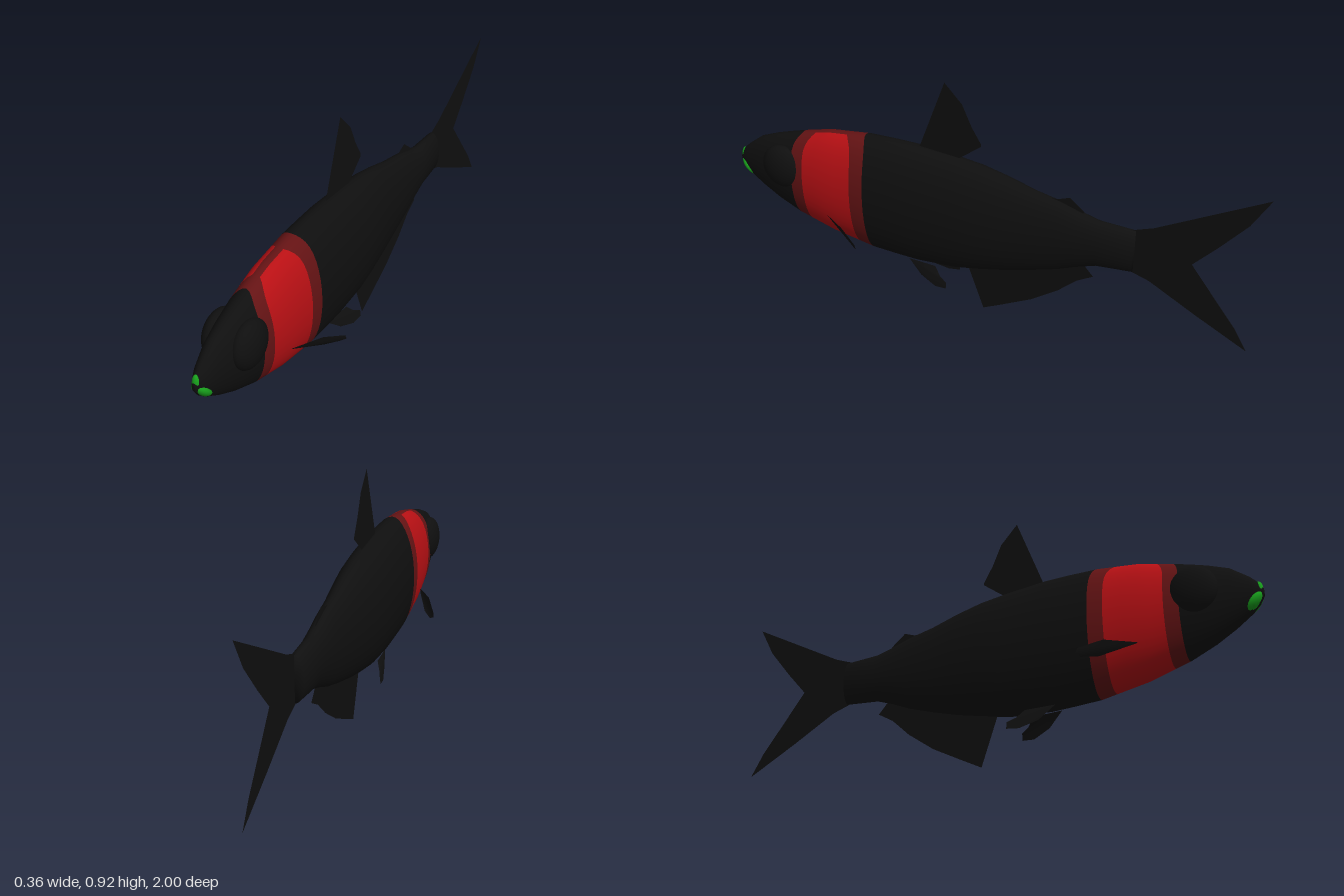
import * as THREE from 'three';

const mat = (name, color, side = THREE.FrontSide) => {
  const m = new THREE.MeshStandardMaterial({ color, side });
  m.name = name;
  return m;
};

// Body profile: z, bottom y, top y, half width
const PROFILE = [
  [1.0, 0.42, 0.452, 0.008], [0.985, 0.395, 0.475, 0.018], [0.96, 0.37, 0.5, 0.03], [0.9, 0.328, 0.545, 0.046],
  [0.83, 0.288, 0.572, 0.062], [0.74, 0.248, 0.6, 0.077], [0.6, 0.205, 0.635, 0.091],
  [0.42, 0.17, 0.655, 0.098], [0.25, 0.162, 0.652, 0.098], [0.1, 0.17, 0.638, 0.094],
  [0, 0.188, 0.625, 0.086], [-0.1, 0.21, 0.602, 0.074], [-0.2, 0.238, 0.572, 0.062],
  [-0.3, 0.27, 0.55, 0.053], [-0.37, 0.3, 0.527, 0.047], [-0.44, 0.325, 0.508, 0.042], [-0.57, 0.335, 0.502, 0.034],
];

function profileAt(z) {
  let i = 0;
  while (i < PROFILE.length - 2 && PROFILE[i + 1][0] > z) i++;
  const a = PROFILE[i], b = PROFILE[i + 1];
  const t = (a[0] - z) / (a[0] - b[0]);
  return [1, 2, 3].map(k => a[k] + (b[k] - a[k]) * t);
}

// Rows along the body: z, shift towards the ridge, colour of the strip behind (0 black, 1 dark red, 2 red)
const ROWS = [
  [1.0, 0, 0], [0.985, 0, 0], [0.96, 0, 0], [0.9, 0, 0], [0.83, 0, 0], [0.78, 0, 0],
  [0.74, -0.03, 1], [0.69, -0.04, 2], [0.645, -0.03, 2], [0.6, 0, 2], [0.55, 0.015, 2],
  [0.485, 0.04, 1], [0.43, 0.02, 0],
  ...[0.34, 0.25, 0.1, 0, -0.1, -0.2, -0.3, -0.37, -0.44, -0.57].map(z => [z, 0, 0]),
];

function bodyGeometry() {
  const N = 40, pos = [], lists = [[], [], []];
  const ring = (z0, shift, size = 1) => {
    for (let j = 0; j < N; j++) {
      const a = (j / N) * Math.PI * 2;
      const z = z0 + shift * Math.pow(Math.max(0, Math.cos(a)), 8);
      const [lo, hi, w] = profileAt(z);
      pos.push(w * size * Math.sin(a), (lo + hi) / 2 + ((hi - lo) / 2) * size * Math.cos(a), z);
    }
  };
  ring(1.0, 0, 0);
  ROWS.forEach(r => ring(r[0], r[1]));
  ring(-0.57, 0, 0);
  for (let i = 0; i <= ROWS.length; i++) {
    const colour = i === 0 ? 0 : ROWS[i - 1][2];
    for (let j = 0; j < N; j++) {
      // the back ridge of the red band stays dark
      const ridge = j === 0 || j === N - 1;
      const list = lists[colour === 2 && ridge ? 1 : colour];
      const k = (j + 1) % N;
      const A = i * N + j, B = i * N + k, C = A + N, D = B + N;
      list.push(A, B, C, B, D, C);
    }
  }
  const g = new THREE.BufferGeometry();
  g.setAttribute('position', new THREE.Float32BufferAttribute(pos, 3));
  g.setIndex(lists.flat());
  let start = 0;
  lists.forEach((l, m) => { g.addGroup(start, l.length, m); start += l.length; });
  g.computeVertexNormals();
  return g;
}

// Flat fin in the middle plane from [z, y] points
function midFin(points) {
  const shape = new THREE.Shape(points.map(p => new THREE.Vector2(p[0], p[1])));
  return new THREE.ShapeGeometry(shape).rotateY(-Math.PI / 2);
}

// Leaf-shaped side fin: a fan round its outline
function sideFin(points, side) {
  const pos = points.flatMap(([x, y, z]) => [x * side, y, z]);
  const idx = [];
  for (let i = 1; i < points.length - 1; i++) idx.push(0, i, i + 1);
  const g = new THREE.BufferGeometry();
  g.setAttribute('position', new THREE.Float32BufferAttribute(pos, 3));
  g.setIndex(idx);
  g.computeVertexNormals();
  return g;
}

export function createModel() {
  const model = new THREE.Group();
  model.name = 'fish';
  const black = mat('black', 0x0f0f0f, THREE.DoubleSide);
  const darkRed = mat('darkRed', 0x641314);
  const red = mat('red', 0xb81014);
  const green = mat('green', 0x18a01c);
  const add = (name, geometry, material) => {
    const m = new THREE.Mesh(geometry, material);
    m.name = name;
    model.add(m);
    return m;
  };

  add('body', bodyGeometry(), [black, darkRed, red]);

  // Fins along the middle
  add('tailFin', midFin([
    [-0.55, 0.5], [-0.63, 0.53], [-0.8, 0.622], [-1, 0.73], [-0.94, 0.62], [-0.85, 0.51], [-0.77, 0.42],
    [-0.87, 0.29], [-0.94, 0.2], [-0.99, 0.115], [-0.8, 0.215], [-0.63, 0.31], [-0.55, 0.336],
  ]), black);
  add('dorsalFin', midFin([
    [0.24, 0.64], [0.135, 0.92], [0.07, 0.85], [0.035, 0.77], [0, 0.71], [0, 0.7], [0.09, 0.63],
  ]), black);
  add('adiposeFin', midFin([[-0.23, 0.555], [-0.29, 0.56], [-0.33, 0.575], [-0.385, 0.53], [-0.37, 0.51]]), black);
  add('analFin', midFin([
    [0.055, 0.19], [-0.01, 0.003], [-0.08, 0.038], [-0.2, 0.1], [-0.3, 0.17],
    [-0.37, 0.235], [-0.43, 0.27], [-0.39, 0.315], [-0.2, 0.26],
  ]), black);

  // Paired parts
  for (const [label, s] of [['left', 1], ['right', -1]]) {
    const eye = add(label + 'Eye', new THREE.SphereGeometry(1, 28, 18), black);
    eye.scale.set(0.044, 0.087, 0.083);
    eye.position.set(0.053 * s, 0.467, 0.785);
    add(label + 'PectoralFin', sideFin([
      [0.075, 0.312, 0.6], [0.14, 0.316, 0.5], [0.18, 0.285, 0.425], [0.182, 0.268, 0.42],
      [0.165, 0.259, 0.43], [0.13, 0.265, 0.48], [0.09, 0.3, 0.56],
    ], s), black);
    add(label + 'PelvicFin', sideFin([
      [0.03, 0.17, 0.28], [0.035, 0.168, 0.17], [0.05, 0.14, 0.145], [0.062, 0.125, 0.115],
      [0.065, 0.1, 0.115], [0.061, 0.096, 0.16], [0.045, 0.12, 0.225],
    ], s), black);
  }

  // Mouth
  const lowerLip = add('lowerLip', new THREE.SphereGeometry(1, 16, 12), green);
  lowerLip.scale.set(0.03, 0.045, 0.02);
  lowerLip.position.set(0, 0.404, 0.965);
  lowerLip.rotation.x = 0.7;
  const upperLip = add('upperLip', new THREE.SphereGeometry(1, 16, 12), green);
  upperLip.scale.set(0.014, 0.034, 0.014);
  upperLip.position.set(0, 0.443, 0.986);

  return model;
}
